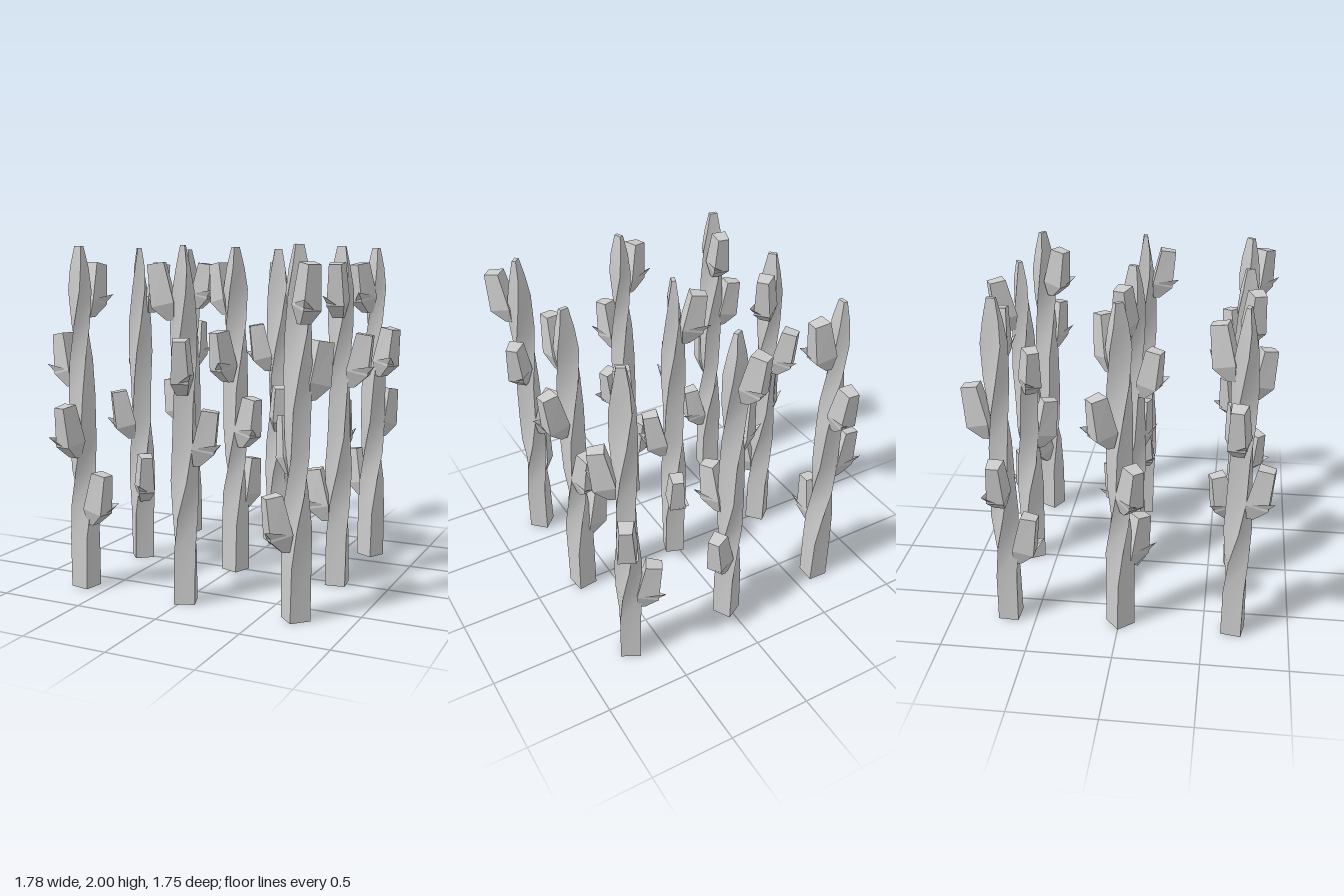
import * as THREE from 'three';

const stemMat = new THREE.MeshStandardMaterial({ color: 0xcccccc });
const budMat = new THREE.MeshStandardMaterial({ color: 0xcccccc, flatShading: true });
const leafMat = new THREE.MeshStandardMaterial({ color: 0xcccccc, flatShading: true, side: THREE.DoubleSide });
const rad = THREE.MathUtils.degToRad;

// Joins four-cornered rings (counter-clockwise from above) into a closed solid;
// each side is its own strip, so the long edges stay sharp.
function loft(rings) {
  const pos = [], index = [], n = rings.length;
  for (let j = 0; j < 4; j++) {
    const start = pos.length / 3;
    for (const ring of rings) pos.push(...ring[j], ...ring[(j + 1) % 4]);
    for (let i = 0; i < n - 1; i++) {
      const a = start + i * 2;
      index.push(a, a + 1, a + 3, a, a + 3, a + 2);
    }
  }
  for (const [ring, flip] of [[rings[0], true], [rings[n - 1], false]]) {
    const s = pos.length / 3;
    ring.forEach(p => pos.push(...p));
    index.push(...(flip ? [s, s + 2, s + 1, s, s + 3, s + 2] : [s, s + 1, s + 2, s, s + 2, s + 3]));
  }
  const g = new THREE.BufferGeometry();
  g.setAttribute('position', new THREE.Float32BufferAttribute(pos, 3));
  g.setIndex(index);
  g.computeVertexNormals();
  return g;
}

// Square stalk, straight at the foot, twisting upward to a narrow flattened tip
function stemGeometry() {
  // height, half depth, half width, twist in degrees
  const sections = [
    [0, 0.06, 0.06, 0], [0.3, 0.06, 0.06, 4], [0.5, 0.058, 0.06, 22], [0.7, 0.052, 0.06, 55],
    [0.9, 0.05, 0.058, 82], [1.15, 0.052, 0.055, 92], [1.35, 0.048, 0.058, 112],
    [1.55, 0.045, 0.06, 140], [1.75, 0.04, 0.062, 165], [1.88, 0.03, 0.045, 175], [2, 0.012, 0.024, 180],
  ];
  return loft(sections.map(([y, u, w, twist]) => {
    const c = Math.cos(rad(twist)), s = Math.sin(rad(twist));
    return [[u, -w], [u, w], [-u, w], [-u, -w]].map(([a, b]) => [a * c - b * s, y, -(a * s + b * c)]);
  }));
}

// Bud leaning outward along +x: narrow foot, broad lower third, cut top
function budGeometry() {
  // inner height, outer height, inner reach, outer reach, inner half width, outer half width
  const sections = [
    [0, 0.0, 0.05, 0.09, 0.03, 0.03],
    [0.1, 0.07, 0.045, 0.17, 0.06, 0.05],
    [0.315, 0.3, 0.1, 0.192, 0.045, 0.035],
  ];
  return loft(sections.map(([yi, yo, i, o, wi, wo]) =>
    [[o, yo, wo], [o, yo, -wo], [i, yi, -wi], [i, yi, wi]]));
}

// Pointed leaf at the foot of a bud, folded along its middle; side is +1 or -1
function leafGeometry(side) {
  const tip = [0.212, 0.13, -0.065 * side];
  const foot = [0.085, 0.0, -0.02 * side];
  const outer = [0.165, 0.07, 0.015 * side];
  const inner = [0.085, 0.11, -0.06 * side];
  const g = new THREE.BufferGeometry();
  g.setAttribute('position', new THREE.Float32BufferAttribute(
    [...foot, ...outer, ...tip, ...foot, ...tip, ...inner], 3));
  g.computeVertexNormals();
  return g;
}

export function createModel() {
  const model = new THREE.Group();
  model.name = 'stalkPatch';
  const stemGeo = stemGeometry(), budGeo = budGeometry();
  const leafGeo = { '+': leafGeometry(1), '-': leafGeometry(-1) };

  // Column, row, direction of the top bud in degrees, leaf side of each bud from the top
  const stalks = [
    [-1, -1, -2, '---+'], [0, -1, 119, '--++'], [1, -1, 242, '+-+-'],
    [-1, 0, 40, '----'], [0, 0, 160, '-+-+'], [1, 0, 278, '---+'],
    [-1, 1, 80, '-+-+'], [0, 1, 200, '-+-+'], [1, 1, 316, '-+-+'],
  ];
  for (const [col, row, turn, sides] of stalks) {
    const stalk = new THREE.Group();
    stalk.name = 'stalk';
    stalk.position.set(0.013 + col * 0.672, 0, 0.007 + row * 0.667);
    stalk.rotation.y = rad(turn);

    const stem = new THREE.Mesh(stemGeo, stemMat);
    stem.name = 'stem';
    stalk.add(stem);

    // Four buds spiral down a quarter turn at a time
    [...sides].forEach((side, k) => {
      const sprout = new THREE.Group();
      sprout.name = 'sprout';
      sprout.position.y = 1.595 - k * 0.403;
      sprout.rotation.y = k * Math.PI / 2;
      const bud = new THREE.Mesh(budGeo, budMat);
      bud.name = 'bud';
      const leaf = new THREE.Mesh(leafGeo[side], leafMat);
      leaf.name = 'leaf';
      sprout.add(bud, leaf);
      stalk.add(sprout);
    });
    model.add(stalk);
  }
  return model;
}
